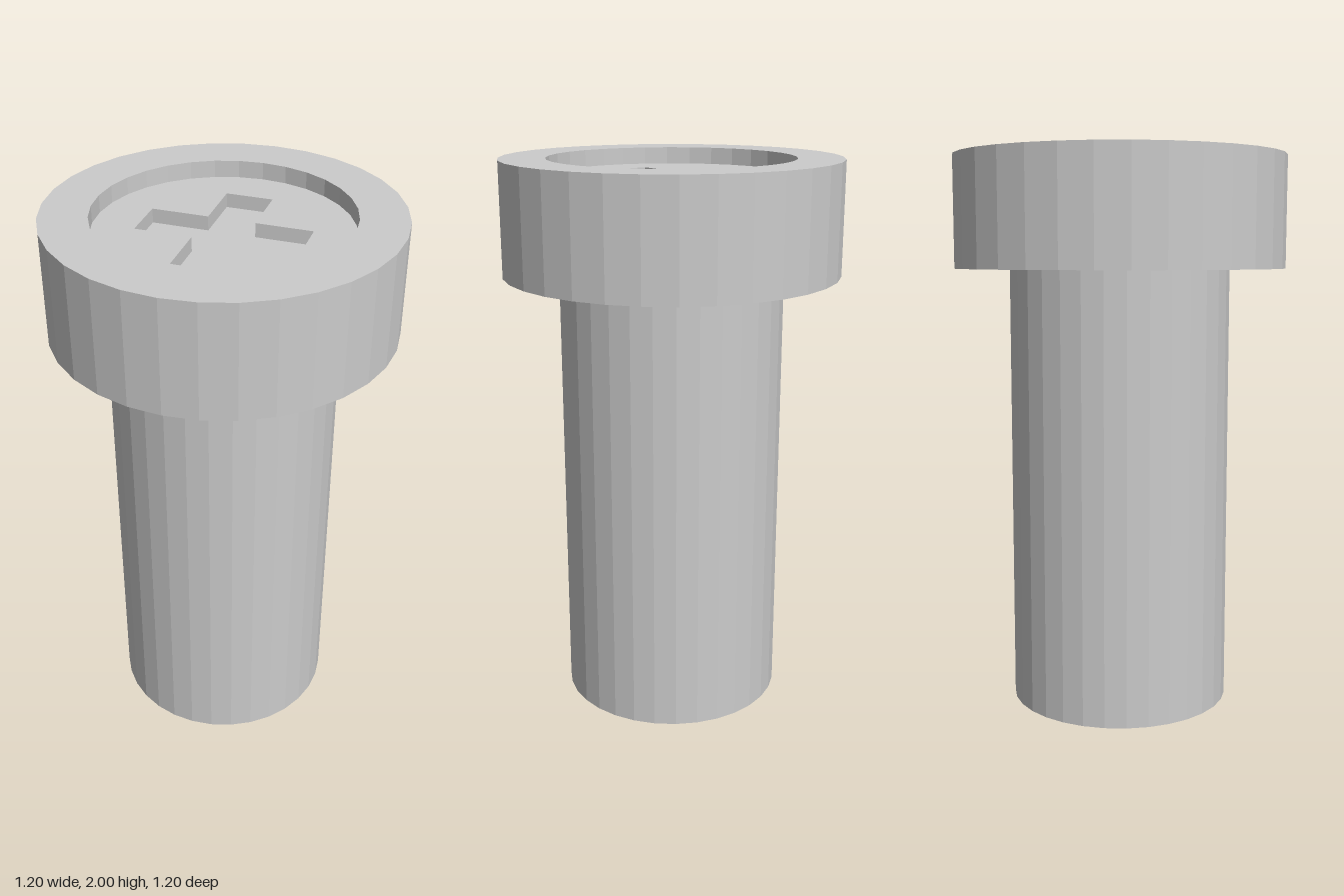
import * as THREE from 'three';

const SIDES = 32;
const RECESS_R = 0.436;
const RECESS_Y = 1.94;
const SLOT_DEPTH = 0.05;

const material = new THREE.MeshStandardMaterial({ color: 0xcccccc, flatShading: true });

function part(name, geometry) {
  const mesh = new THREE.Mesh(geometry, material);
  mesh.name = name;
  return mesh;
}

// Turned surface from [radius, height] pairs
function turned(profile) {
  return new THREE.LatheGeometry(profile.map(([r, y]) => new THREE.Vector2(r, y)), SIDES);
}

// Outline of the cross-shaped drive slot: one corner of the plus, turned four times
function crossPoints(halfLength, halfWidth) {
  const points = [];
  for (let i = 0; i < 4; i++) {
    for (const [x, y] of [[halfLength, -halfWidth], [halfLength, halfWidth], [halfWidth, halfWidth]]) {
      points.push(new THREE.Vector2(x, y).rotateAround(new THREE.Vector2(), i * Math.PI / 2));
    }
  }
  return points;
}

export function createModel() {
  const screw = new THREE.Group();
  screw.name = 'screw';

  // Plain shaft with a closed lower end
  screw.add(part('shaft', turned([[0, 0], [0.4, 0], [0.4, 1.6]])));

  // Head: underside, outer wall, rim and recess wall
  screw.add(part('head', turned([
    [0.4, 1.6], [0.6, 1.6], [0.6, 2], [RECESS_R, 2], [RECESS_R, RECESS_Y],
  ])));

  // Recessed face pierced by the cross slot
  const cross = crossPoints(0.28, 0.082);
  const face = new THREE.Shape().absarc(0, 0, RECESS_R, 0, Math.PI * 2, false);
  face.holes.push(new THREE.Path(cross));
  const faceGeometry = new THREE.ExtrudeGeometry(face, {
    depth: SLOT_DEPTH, bevelEnabled: false, curveSegments: SIDES,
  });
  faceGeometry.rotateX(-Math.PI / 2).translate(0, RECESS_Y - SLOT_DEPTH, 0);
  screw.add(part('recessFace', faceGeometry));

  // Bottom of the cross slot
  const floorGeometry = new THREE.ShapeGeometry(new THREE.Shape(cross));
  floorGeometry.rotateX(-Math.PI / 2).translate(0, RECESS_Y - SLOT_DEPTH, 0);
  screw.add(part('slotFloor', floorGeometry));

  return screw;
}
